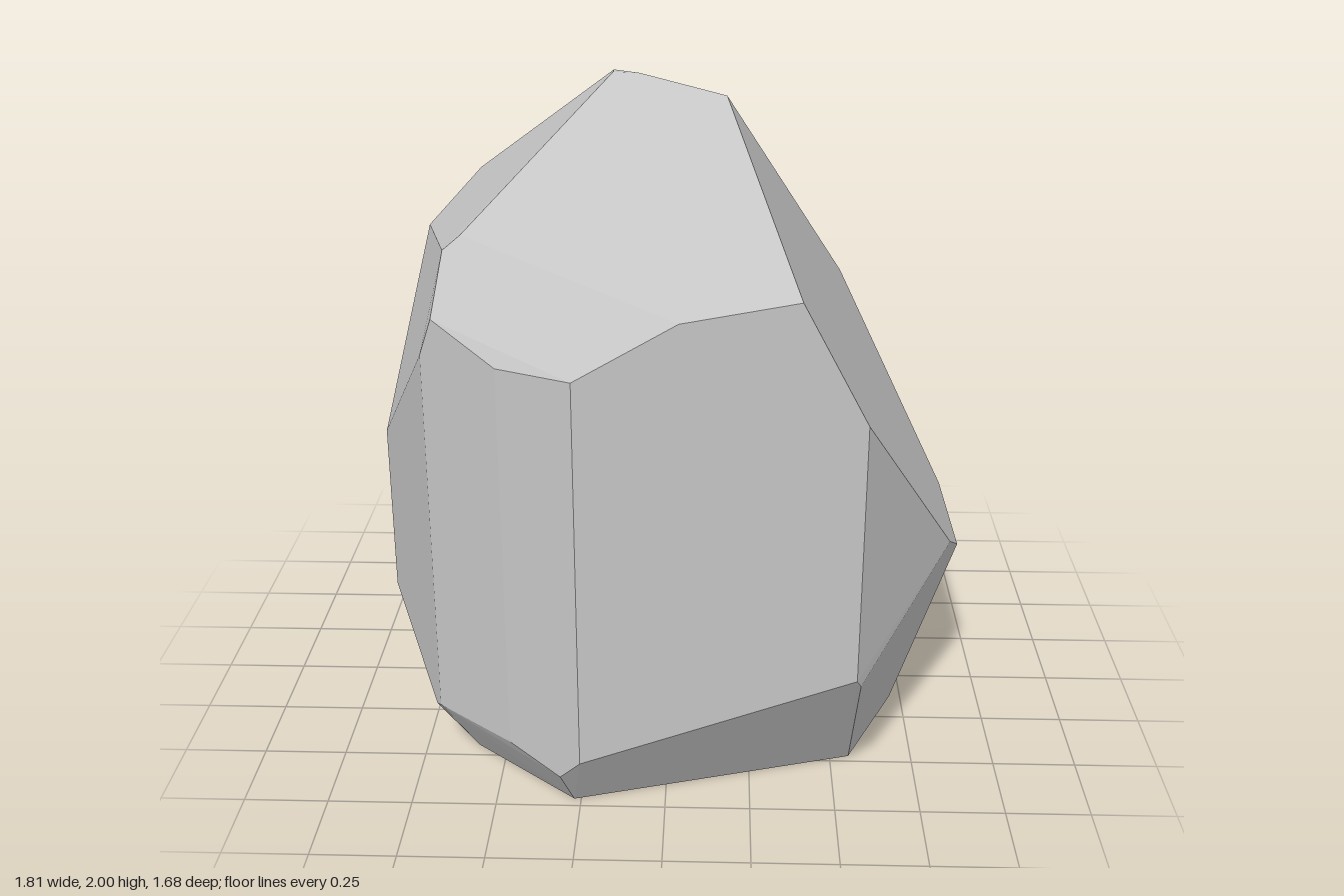
import * as THREE from 'three';
import { ConvexGeometry } from 'three/addons/geometries/ConvexGeometry.js';

// Corners of the faceted boulder, grouped by region: [x, y, z]
const crown = [
  [-0.18, 2, -0.11], [-0.18, 2, -0.145], [-0.1, 2, -0.095], [0.16, 1.96, 0.03],
];
const shoulders = [
  [0.36, 1.585, 0.784], [0.04, 1.535, 0.815], [-0.57, 1.66, 0.455], [-0.62, 1.62, 0.47],
  [-0.64, 1.465, 0.6], [-0.783, 1.479, -0.265], [-0.655, 1.59, -0.571], [-0.573, 1.45, -0.768],
  [-0.39, 1.43, -0.84], [-0.2, 1.485, -0.815], [0.4, 1.24, -0.74], [0.56, 1.21, -0.67],
];
const waist = [
  [0.546, 1.235, 0.766], [0.855, 0.652, 0.285], [0.902, 0.565, 0.13], [0.893, 0.582, -0.285],
  [0.82, 0.395, -0.565], [0.4, 0.47, -0.74], [-0.39, 0.97, -0.84], [-0.573, 0.77, -0.768],
  [-0.905, 0.885, 0.025], [-0.905, 0.34, 0.025],
];
// Vertical front edges: [x, z, bottom, top]
const frontEdges = [
  [-0.24, 0.842, 0.21, 1.38], [-0.45, 0.745, 0.215, 1.38], [-0.68, 0.57, 0.225, 1.35],
].flatMap(([x, z, low, high]) => [[x, low, z], [x, high, z]]);
const lowerFront = [
  [0.546, 0.45, 0.766], [0.56, 0.42, 0.742], [-0.3, 0.145, 0.814], [-0.7, 0.2, 0.522],
];
// Flat underside: [x, z]
const base = [
  [0.715, 0.13], [0.558, 0.472], [-0.27, 0.716], [-0.59, 0.445],
  [-0.755, -0.332], [-0.67, -0.535], [0.69, -0.615],
].map(([x, z]) => [x, 0, z]);

export function createModel() {
  const group = new THREE.Group();
  group.name = 'boulder';

  const stone = new THREE.MeshStandardMaterial({ color: 0xc5c5c5 });
  stone.name = 'pale grey stone';
  stone.flatShading = true;

  const corners = [...crown, ...shoulders, ...waist, ...frontEdges, ...lowerFront, ...base]
    .map((p) => new THREE.Vector3(...p));
  const rock = new THREE.Mesh(new ConvexGeometry(corners), stone);
  rock.name = 'rock';
  group.add(rock);
  return group;
}
